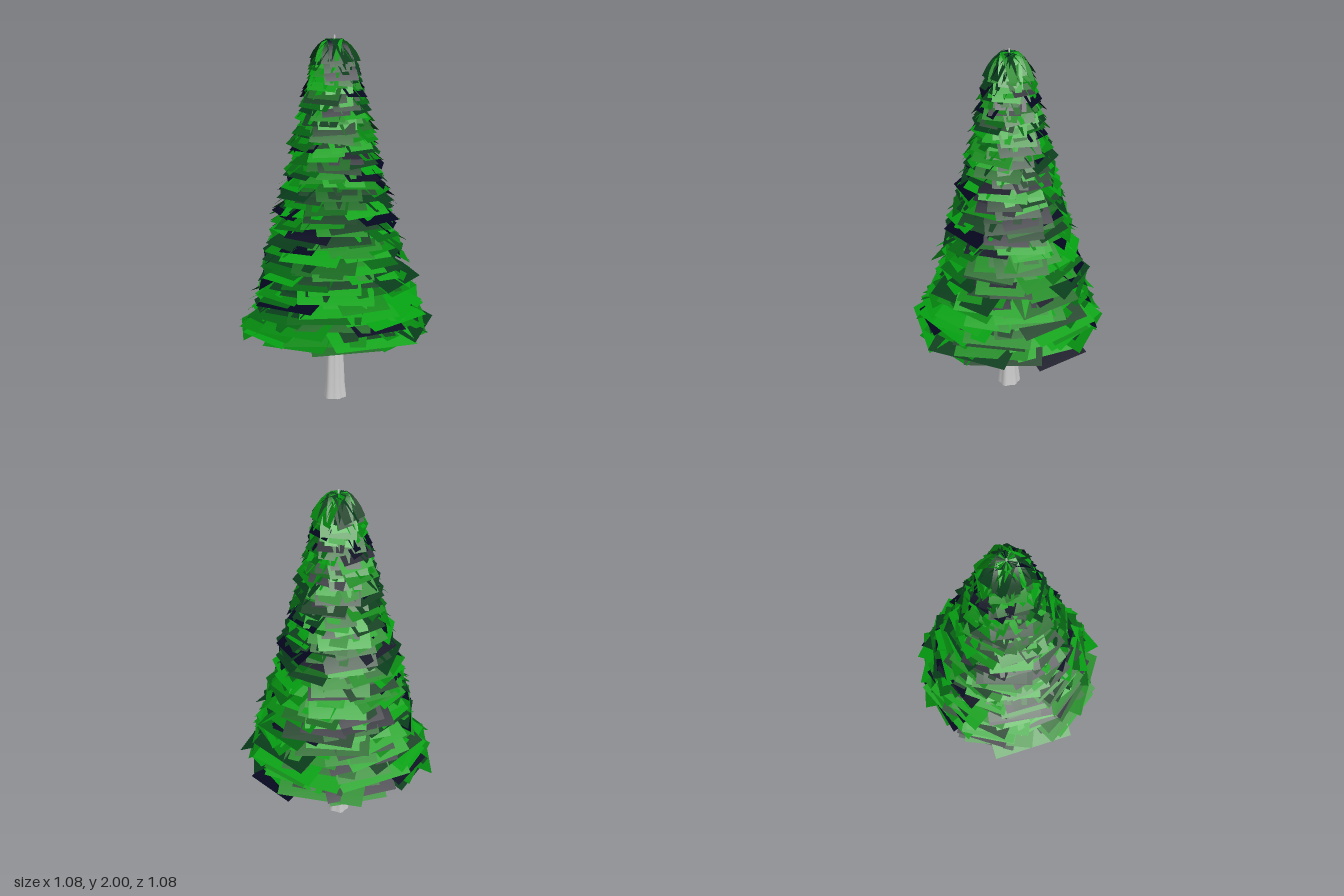
import * as THREE from 'three';
import { mergeGeometries } from 'three/addons/utils/BufferGeometryUtils.js';

// Small seeded generator
function seeded(seed) {
  let s = seed;
  return () => (s = (s * 16807) % 2147483647) / 2147483647;
}

// Fluted trunk, flared at the foot and tapering to a thin tip
function makeTrunk() {
  const profile = [[0.06, 0], [0.052, 0.08], [0.045, 0.25], [0.041, 0.42], [0.03, 0.9], [0.016, 1.5], [0.004, 2]];
  const geo = new THREE.LatheGeometry(profile.map(([r, y]) => new THREE.Vector2(r, y)), 30);
  const p = geo.attributes.position;
  for (let i = 0; i < p.count; i++) {
    const a = Math.atan2(p.getZ(i), p.getX(i));
    const k = 1 + 0.08 * Math.sin(a * 6) + 0.04 * Math.sin(a * 3 + 1);
    p.setX(i, p.getX(i) * k);
    p.setZ(i, p.getZ(i) * k);
  }
  geo.computeVertexNormals();
  const trunk = new THREE.Mesh(geo, new THREE.MeshStandardMaterial({ color: 0xcccccc, side: THREE.DoubleSide }));
  trunk.name = 'trunk';
  return trunk;
}

// One drooping bough: a thin card that widens outwards and bends down
function makeBough({ reach, width, rootShare, drop, rootY, angle, tilt }) {
  const geo = new THREE.PlaneGeometry(1, 1, 1, 4);
  const p = geo.attributes.position;
  for (let i = 0; i < p.count; i++) {
    const s = 0.5 - p.getY(i);
    const x = p.getX(i) * width * (rootShare + (1 - rootShare) * Math.min(1, s * 1.35));
    p.setXYZ(i, x, rootY - drop * Math.pow(s, 1.75) + x * tilt * s, reach * s);
  }
  geo.computeVertexNormals();
  geo.rotateY(angle);
  return geo;
}

export function createModel() {
  const tree = new THREE.Group();
  tree.name = 'coniferTree';
  tree.add(makeTrunk());

  const tones = [
    { name: 'brightBoughs', color: 0x05a012, share: 0.26 },
    { name: 'grassBoughs', color: 0x05860f, share: 0.22 },
    { name: 'midBoughs', color: 0x056412, share: 0.2 },
    { name: 'deepBoughs', color: 0x083c1a, share: 0.22 },
    { name: 'navyBoughs', color: 0x04061e, share: 0.1 },
  ].map((t) => ({ ...t, parts: [] }));

  const pickTone = (v) => {
    for (const t of tones) {
      if (v < t.share) return t;
      v -= t.share;
    }
    return tones[0];
  };

  // Boughs spiral up the trunk, getting shorter and relatively broader
  const rand = seeded(4711);
  const count = 460;
  for (let i = 0; i < count; i++) {
    const u = i / (count - 1);
    const tipY = 0.4 + 1.5 * u;
    const reach = (0.515 - 0.405 * Math.pow(u, 0.86)) * (0.9 + 0.14 * rand());
    const drop = (0.15 - 0.045 * u) * (0.95 + 0.2 * rand());
    const bough = makeBough({
      reach,
      drop,
      width: reach * (0.55 + 0.4 * rand() + 0.5 * u ** 4),
      rootShare: 0.3 + 0.45 * u ** 4,
      rootY: Math.min(1.98, tipY + drop),
      angle: i * 2.39996 + (rand() - 0.5) * 0.5,
      tilt: (rand() - 0.5) * (0.1 + 0.15 * u),
    });
    pickTone(rand()).parts.push(bough);
  }

  // One mesh per foliage tone
  for (const { name, color, parts } of tones) {
    const mesh = new THREE.Mesh(
      mergeGeometries(parts),
      new THREE.MeshStandardMaterial({ color, side: THREE.DoubleSide })
    );
    mesh.name = name;
    tree.add(mesh);
  }
  return tree;
}
